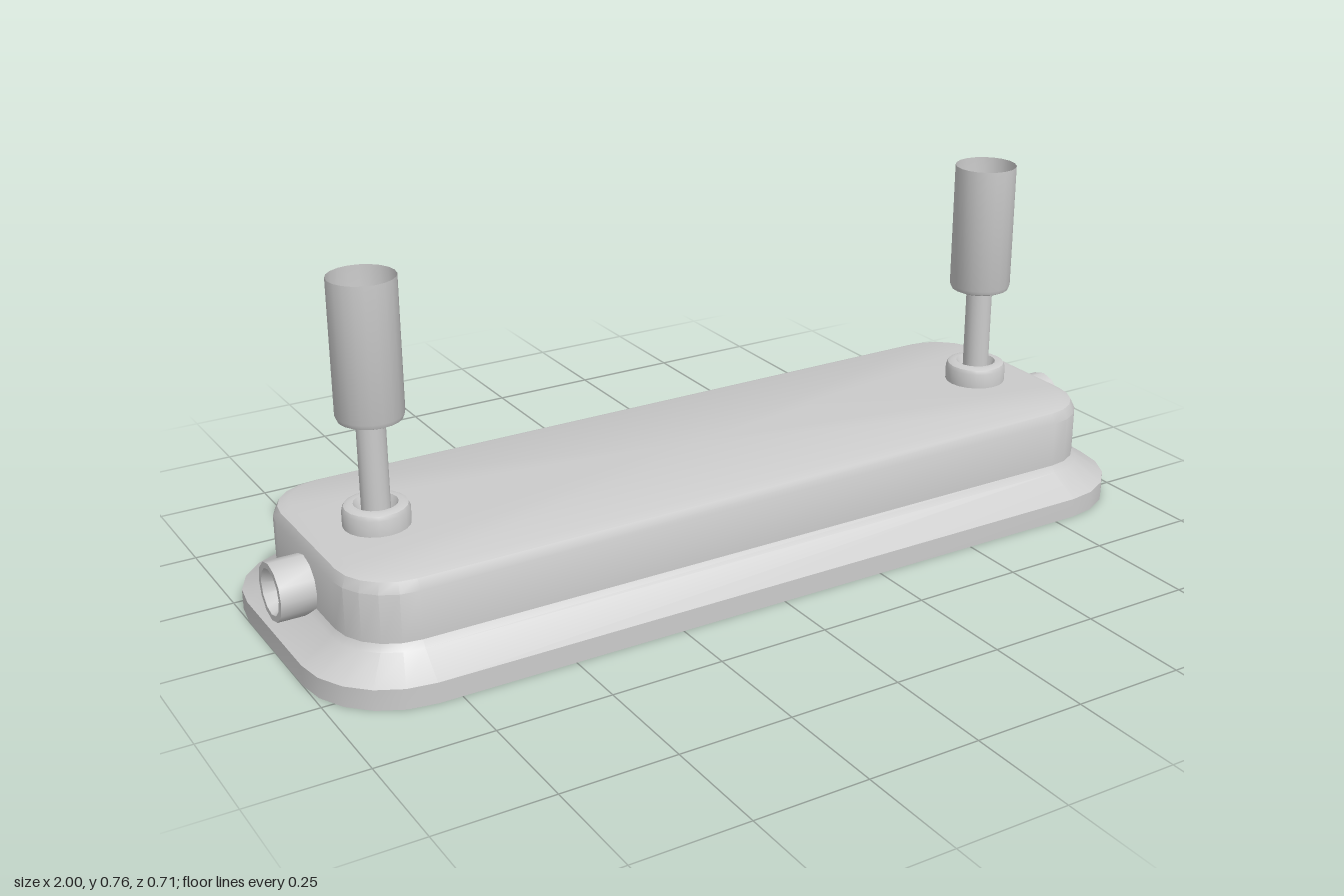
import * as THREE from 'three';
import { toCreasedNormals } from 'three/addons/utils/BufferGeometryUtils.js';

const material = new THREE.MeshStandardMaterial({ color: 0xcccccc, side: THREE.DoubleSide });

function part(name, geometry, parent) {
  const mesh = new THREE.Mesh(geometry, material);
  mesh.name = name;
  parent.add(mesh);
  return mesh;
}

// Lathe from [radius, height] pairs, with sharp edges kept
function turned(points, sides) {
  const profile = points.map(([r, y]) => new THREE.Vector2(r, y));
  return toCreasedNormals(new THREE.LatheGeometry(profile, sides), 0.6);
}

// Loop of points around a rounded rectangle
function roundedLoop(hx, hz, r, y, segments = 5) {
  const loop = [];
  for (let q = 0; q < 4; q++) {
    const sx = q === 0 || q === 3 ? 1 : -1;
    const sz = q < 2 ? 1 : -1;
    for (let k = 0; k <= segments; k++) {
      const a = (q + k / segments) * Math.PI / 2;
      loop.push(sx * (hx - r) + r * Math.cos(a), y, sz * (hz - r) + r * Math.sin(a));
    }
  }
  return loop;
}

// Surface through rounded rectangles given as [halfX, halfZ, cornerRadius, y]
function loft(sections) {
  const loops = sections.map((s) => roundedLoop(...s));
  const n = loops[0].length / 3;
  const index = [];
  for (let i = 0; i < loops.length - 1; i++) {
    for (let j = 0; j < n; j++) {
      const a = i * n + j, b = i * n + (j + 1) % n;
      index.push(a, a + n, b, b, a + n, b + n);
    }
  }
  const geometry = new THREE.BufferGeometry();
  geometry.setAttribute('position', new THREE.Float32BufferAttribute(loops.flat(), 3));
  geometry.setIndex(index);
  return toCreasedNormals(geometry, 0.5);
}

export function createModel() {
  const model = new THREE.Group();
  model.name = 'ceilingLamp';

  // Housing: recess ceiling, inner wall, stepped rim, flared skirt, top
  part('housing', loft([
    [0, 0, 0, 0.16],
    [0.83, 0.2, 0.07, 0.16],
    [0.85, 0.215, 0.08, 0.03],
    [0.96, 0.315, 0.17, 0.03],
    [0.965, 0.32, 0.175, 0],
    [1, 0.353, 0.2, 0],
    [1, 0.353, 0.2, 0.045],
    [0.935, 0.288, 0.14, 0.088],
    [0.925, 0.279, 0.13, 0.103],
    [0.925, 0.279, 0.13, 0.208],
    [0.915, 0.268, 0.12, 0.23],
    [0.893, 0.247, 0.1, 0.238],
    [0, 0, 0, 0.238],
  ]), model);

  // Two lamp tubes with end caps
  for (const z of [-0.1, 0.1]) {
    const lamp = new THREE.Group();
    lamp.name = 'lamp';
    lamp.position.set(0, 0.085, z);
    model.add(lamp);
    const tube = new THREE.CylinderGeometry(0.05, 0.05, 1.4, 20, 1, true);
    part('lampTube', tube.rotateZ(Math.PI / 2), lamp);
    for (const s of [-1, 1]) {
      const cap = turned([[0.05, 0], [0.054, 0], [0.054, 0.055], [0.045, 0.07], [0, 0.07]], 20);
      part('lampCap', cap.rotateZ(-s * Math.PI / 2), lamp).position.x = s * 0.7;
    }
  }

  for (const s of [-1, 1]) {
    // Stepped lamp holder at each end of the recess
    [[0.765, 0.125], [0.79, 0.095], [0.815, 0.065]].forEach(([x, bottom]) => {
      const step = new THREE.BoxGeometry(0.025, 0.16 - bottom, 0.38);
      part('holderStep', step, model).position.set(s * (x + 0.0125), (0.16 + bottom) / 2, 0);
    });

    // Cable inlet on the end wall
    const inlet = turned([
      [0.063, 0], [0.063, 0.1], [0.05, 0.1], [0.023, 0.04], [0, 0.04],
    ], 12);
    part('cableInlet', inlet.rotateZ(-s * Math.PI / 2), model).position.set(s * 0.9, 0.137, 0);

    // Hanger: dished collar, rod and open cup
    const hanger = new THREE.Group();
    hanger.name = 'hanger';
    hanger.position.set(s * 0.77, 0, 0.013);
    model.add(hanger);
    part('hangerCollar', turned([
      [0.07, 0.235], [0.07, 0.272], [0.066, 0.281], [0.057, 0.285], [0.046, 0.285], [0.03, 0.25],
    ], 20), hanger);
    part('hangerRod', turned([[0.03, 0.235], [0.03, 0.475], [0, 0.475]], 16), hanger);
    part('hangerCup', turned([
      [0.028, 0.465], [0.057, 0.465], [0.066, 0.469], [0.07, 0.479], [0.07, 0.765],
    ], 20), hanger);
  }
  return model;
}
